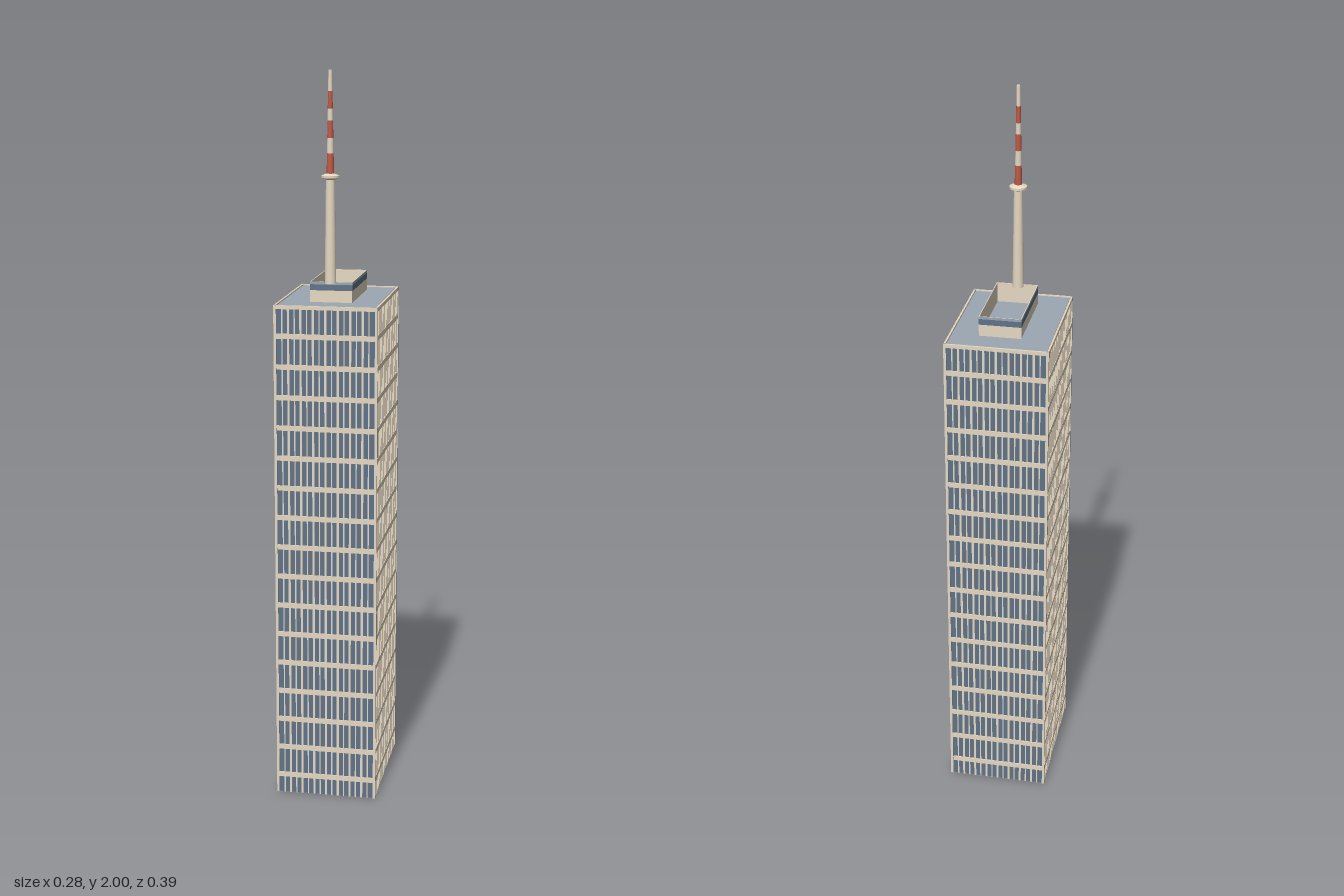
import * as THREE from 'three';
import { mergeGeometries } from 'three/addons/utils/BufferGeometryUtils.js';

const material = (name, color, side = THREE.FrontSide) => {
  const m = new THREE.MeshStandardMaterial({ color, side });
  m.name = name;
  return m;
};

const W = 0.14, D = 0.193, H = 1.39; // half width, half depth, tower height

function box(w, h, d, x, y, z) {
  return new THREE.BoxGeometry(w, h, d).translate(x, y, z);
}

// Four bars round a rectangle, inside the given half sizes
function ring(hw, hd, y, h, t, cx = 0) {
  return [1, -1].flatMap(s => [
    box(hw * 2, h, t, cx, y, s * (hd - t / 2)),
    box(t, h, hd * 2 - t * 2, cx + s * (hw - t / 2), y, 0),
  ]);
}

export function createModel() {
  const group = new THREE.Group();
  const stone = material('stone', 0xe6d9c2);
  const lining = material('lining', 0xe6d9c2, THREE.DoubleSide);
  const glass = material('blue glass', 0x60738a);
  const roofGrey = material('roof grey', 0x9ba7b2);
  const red = material('mast red', 0xc05a46);

  const add = (name, geometry, mat, parent = group) => {
    const mesh = new THREE.Mesh(Array.isArray(geometry) ? mergeGeometries(geometry) : geometry, mat);
    mesh.name = name;
    parent.add(mesh);
    return mesh;
  };

  // Hollow tower: glass outside, stone lining inside, open underneath
  const gw = W - 0.004, gd = D - 0.004;
  const faces = [
    { half: W, out: D, glassHalf: gw, glassOut: gd, bays: 16, turn: 0 },
    { half: W, out: D, glassHalf: gw, glassOut: gd, bays: 16, turn: Math.PI },
    { half: D, out: W, glassHalf: gd, glassOut: gw, bays: 24, turn: Math.PI / 2 },
    { half: D, out: W, glassHalf: gd, glassOut: gw, bays: 24, turn: -Math.PI / 2 },
  ];
  const walls = [], inner = [], mullions = [];
  for (const f of faces) {
    const place = g => g.rotateY(f.turn);
    walls.push(place(new THREE.PlaneGeometry(f.glassHalf * 2, H).translate(0, H / 2, f.glassOut)));
    inner.push(place(new THREE.PlaneGeometry(f.glassHalf * 2, H).translate(0, H / 2, f.glassOut - 0.002)));
    // Wide and narrow mullions alternate
    const pitch = (f.half * 2 - 0.012) / f.bays;
    for (let i = 1; i < f.bays; i++) {
      const x = (i - f.bays / 2) * pitch;
      mullions.push(place(box(i % 2 ? 0.0035 : 0.006, H, 0.004, x, H / 2, f.out - 0.003)));
    }
  }
  add('glassWalls', walls, glass);
  add('innerWalls', inner, lining);
  add('mullions', mullions, stone);

  // Floor bands
  const bands = [];
  for (let i = 0; i < 16; i++) {
    bands.push(...ring(W - 0.0005, D - 0.0005, 0.053 + i * 0.0836, 0.014, 0.004));
  }
  bands.push(...ring(W, D, H - 0.005, 0.01, 0.005));
  add('floorBands', bands, stone);

  // Corner posts, stone to front and back and grey on the other faces
  const postFaces = [roofGrey, roofGrey, roofGrey, roofGrey, stone, stone];
  for (const x of [-1, 1]) for (const z of [-1, 1]) {
    const post = box(0.007, H + 0.001, 0.007, x * (W - 0.0034), (H + 0.001) / 2, z * (D - 0.0034));
    add('cornerPost', post, postFaces);
  }

  add('roof', box(gw * 2, 0.006, gd * 2, 0, H - 0.006, 0), roofGrey);

  // Open rooftop enclosure with a glazed strip
  const enclosure = new THREE.Group();
  enclosure.name = 'rooftopEnclosure';
  group.add(enclosure);
  add('enclosureWalls', ring(0.057, 0.121, H + 0.0275, 0.055, 0.002, 0.003), stone, enclosure);
  add('enclosureGlazing', ring(0.0576, 0.1216, 1.43, 0.016, 0.0006, 0.003), glass, enclosure);
  add('enclosureCoping', ring(0.0576, 0.1216, 1.4415, 0.007, 0.0006, 0.003), roofGrey, enclosure);

  // Mast
  const mast = new THREE.Group();
  mast.name = 'mast';
  mast.position.z = 0.115;
  group.add(mast);
  const cylinder = (y0, y1, r0, r1, sides = 16) =>
    new THREE.CylinderGeometry(r1, r0, y1 - y0, sides).translate(0, (y0 + y1) / 2, 0);
  add('mastShaft', cylinder(1.44, 1.722, 0.0155, 0.012), stone, mast);
  const profile = [[0, 1.716], [0.012, 1.716], [0.024, 1.721], [0.024, 1.727], [0.01, 1.732], [0, 1.732]];
  const platform = new THREE.LatheGeometry(profile.map(p => new THREE.Vector2(...p)), 24).toNonIndexed();
  platform.computeVertexNormals();
  add('mastPlatform', platform, stone, mast);

  // Striped antenna, tapering upward
  const stops = [1.73, 1.785, 1.825, 1.87, 1.9, 1.945, 2.0];
  const radius = y => 0.01 - (y - 1.73) / 0.27 * 0.005;
  for (let i = 0; i < stops.length - 1; i++) {
    const [a, b] = [stops[i], stops[i + 1]];
    add('antennaStripe' + (i + 1), cylinder(a, b, radius(a), radius(b), 12), i % 2 ? stone : red, mast);
  }
  return group;
}
